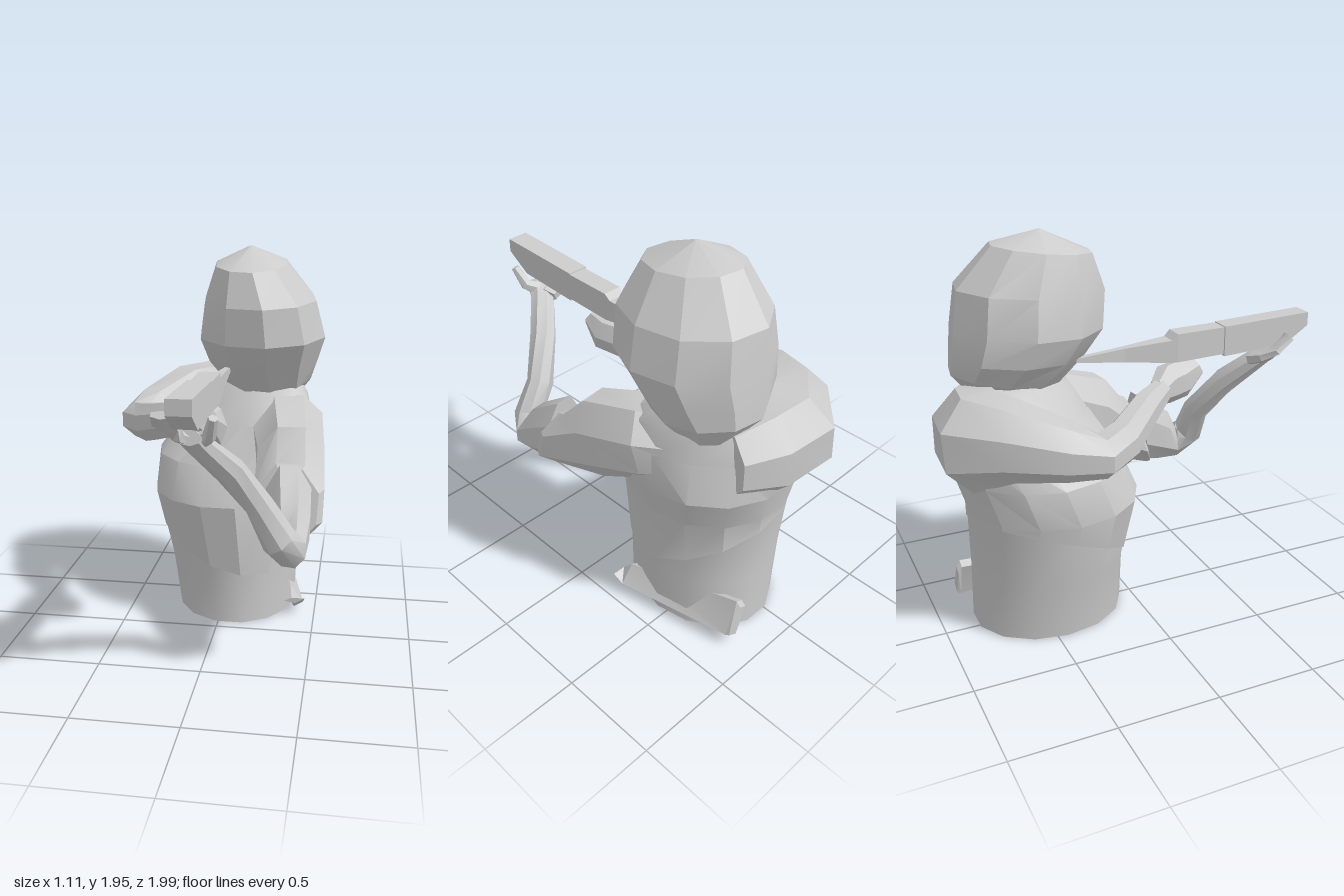
import * as THREE from 'three';
import { toCreasedNormals } from 'three/addons/utils/BufferGeometryUtils.js';

const V = (x, y, z) => new THREE.Vector3(x, y, z);
const material = new THREE.MeshStandardMaterial({ color: 0xcccccc, side: THREE.DoubleSide });

// Skin a list of closed rings; optional fan caps at both ends
function loft(name, rings, { capStart = true, capEnd = true, crease = 0.5 } = {}) {
  const pos = [], idx = [], n = rings[0].length;
  rings.forEach(r => r.forEach(p => pos.push(p.x, p.y, p.z)));
  for (let i = 0; i < rings.length - 1; i++) {
    for (let j = 0; j < n; j++) {
      const a = i * n + j, b = i * n + (j + 1) % n;
      idx.push(a, a + n, b, b, a + n, b + n);
    }
  }
  const cap = (row, flip) => {
    const c = rings[row].reduce((s, p) => s.add(p), V(0, 0, 0)).divideScalar(n);
    const k = pos.length / 3;
    pos.push(c.x, c.y, c.z);
    for (let j = 0; j < n; j++) {
      const a = row * n + j, b = row * n + (j + 1) % n;
      idx.push(k, flip ? b : a, flip ? a : b);
    }
  };
  if (capStart) cap(0, false);
  if (capEnd) cap(rings.length - 1, true);
  const g = new THREE.BufferGeometry();
  g.setAttribute('position', new THREE.Float32BufferAttribute(pos, 3));
  g.setIndex(idx);
  const mesh = new THREE.Mesh(toCreasedNormals(g, crease), material);
  mesh.name = name;
  return mesh;
}

// Point on an ellipse section [y, cx, cz, a, b, rotation, tilt towards +z]
function ellipsePoint([y, cx, cz, a, b, rot = 0, tilt = 0], t, grow = 1) {
  const u = a * grow * Math.cos(t), v = b * grow * Math.sin(t);
  const dz = u * Math.sin(rot) + v * Math.cos(rot);
  return V(cx + u * Math.cos(rot) - v * Math.sin(rot), y + tilt * dz, cz + dz);
}
const angles = (n, offset = 0) => Array.from({ length: n }, (_, j) => offset + j / n * Math.PI * 2);

// Limb through points [x, y, z, side radius, upright radius, upward lean of the section]
function limb(name, pts, sides = 8) {
  const c = pts.map(p => V(p[0], p[1], p[2]));
  const rings = c.map((p, i) => {
    const a = c[Math.max(i - 1, 0)], b = c[Math.min(i + 1, c.length - 1)];
    const T = p.clone().sub(a).normalize().add(b.clone().sub(p).normalize()).normalize();
    T.y += pts[i][5] ?? 0;
    T.normalize();
    const S = T.clone().cross(V(0, 1, 0)).normalize(), U = S.clone().cross(T);
    return angles(sides, Math.PI / sides).map(t => p.clone()
      .addScaledVector(S, 1.06 * pts[i][3] * Math.cos(t))
      .addScaledVector(U, 1.06 * pts[i][4] * Math.sin(t)));
  });
  return loft(name, rings);
}

// Rectangular bar along z, sections [z, bottom, top, left x, right x], front to back
function bar(name, sections) {
  return loft(name, sections.map(([z, y0, y1, x0, x1]) =>
    [V(x1, y0, z), V(x1, y1, z), V(x0, y1, z), V(x0, y0, z)]), { crease: 0.1 });
}

const torsoSections = [
  [0, 0.055, -0.445, 0.32, 0.39, 0],
  [0.3, 0.04, -0.44, 0.35, 0.39, 0],
  [0.66, 0.005, -0.415, 0.395, 0.425, 0],
  [0.85, 0.04, -0.48, 0.42, 0.415, 0.45],
  [1.05, 0.1, -0.54, 0.44, 0.29, 0.87],
  [1.17, 0.13, -0.56, 0.37, 0.24, 0.87],
  [1.24, 0.17, -0.57, 0.25, 0.18, 0.87],
];

function torsoAt(y) {
  const i = Math.max(1, torsoSections.findIndex(s => s[0] >= y));
  const a = torsoSections[i - 1], b = torsoSections[i], f = (y - a[0]) / (b[0] - a[0]);
  return a.map((v, k) => v + (b[k] - v) * f);
}

export function createModel() {
  const model = new THREE.Group();
  model.name = 'riflemanBust';

  // Torso, open at the waist
  model.add(loft('torso', torsoSections.map(s => angles(14).map(t => ellipsePoint(s, t))),
    { capStart: false, crease: 0.6 }));

  // Jacket layer with a slanting hem, following the torso sections
  const hem = t => 0.45 - 0.1 * Math.cos(t) - 0.16 * Math.sin(t);
  const rows = [0, 0.66, 0.85, 1.05].map(y => angles(14).map(t =>
    ellipsePoint(torsoAt(Math.max(y, hem(t))), t, 1.015)));
  model.add(loft('jacket', rows, { capStart: false, capEnd: false, crease: 0.45 }));

  // Hooded head with a raised back
  const headSections = [
    [1.14, 0.24, -0.6, 0.12, 0.13], [1.245, 0.2, -0.575, 0.235, 0.275, 0, -0.17],
    [1.36, 0.175, -0.515, 0.3, 0.335, 0, -0.05], [1.49, 0.175, -0.46, 0.34, 0.375, 0, -0.06],
    [1.68, 0.165, -0.44, 0.3, 0.37, 0, -0.06], [1.865, 0.125, -0.39, 0.19, 0.25, 0, -0.13],
    [1.95, 0.12, -0.4, 0.01, 0.01],
  ];
  model.add(loft('head', headSections.map(s => angles(10, 0.15).map(t => ellipsePoint(s, t))),
    { crease: 0.3 }));

  // Left arm supporting the barrel
  model.add(limb('leftSleeve', [
    [0.17, 1.04, -0.55, 0.2, 0.13], [0.32, 1.01, -0.34, 0.2, 0.19],
    [0.37, 0.9, -0.06, 0.17, 0.21, 0.15], [0.38, 0.765, 0.19, 0.175, 0.195, 0.65],
    [0.375, 0.76, 0.22, 0.155, 0.185, 0.5],
  ]));
  model.add(limb('leftForearm', [
    [0.385, 0.775, 0.22, 0.11, 0.19, 0.5], [0.4, 0.7, 0.37, 0.1, 0.14, 0.3],
    [0.41, 0.64, 0.47, 0.08, 0.09], [0.37, 0.7, 0.53, 0.07, 0.08],
    [0.28, 0.86, 0.53, 0.065, 0.065], [0.16, 1.05, 0.635, 0.065, 0.065],
    [0.05, 1.19, 0.76, 0.06, 0.05], [0.01, 1.24, 0.82, 0.07, 0.035],
  ]));
  model.add(limb('leftFingers', [
    [0.04, 1.2, 0.74, 0.06, 0.04], [-0.05, 1.24, 0.77, 0.09, 0.03],
    [-0.085, 1.28, 0.8, 0.08, 0.025], [-0.095, 1.34, 0.86, 0.05, 0.02],
  ], 6));
  model.add(limb('leftThumb', [
    [0.03, 1.21, 0.78, 0.04, 0.04], [0.1, 1.25, 0.83, 0.03, 0.03],
    [0.125, 1.34, 0.88, 0.02, 0.02],
  ], 6));

  // Right arm drawn back to the trigger
  model.add(limb('rightSleeve', [
    [0.24, 1.04, -0.72, 0.15, 0.17], [0.06, 1.04, -0.77, 0.2, 0.22],
    [-0.12, 1.05, -0.78, 0.22, 0.23], [-0.27, 1.085, -0.66, 0.18, 0.175],
    [-0.41, 1.05, -0.45, 0.13, 0.125], [-0.45, 1.03, -0.33, 0.115, 0.095],
    [-0.38, 1.05, -0.2, 0.085, 0.1], [-0.2, 1.12, 0, 0.07, 0.085],
    [-0.07, 1.14, 0.14, 0.055, 0.06],
  ]));
  model.add(limb('rightHand', [
    [-0.08, 1.14, 0.12, 0.05, 0.06], [-0.01, 1.15, 0.2, 0.075, 0.1],
    [0.02, 1.16, 0.3, 0.075, 0.1], [0.02, 1.21, 0.39, 0.05, 0.05],
  ], 7));

  // Rifle: fore-end, receiver and tapering stock
  model.add(bar('rifleForeEnd', [
    [1, 1.37, 1.44, -0.05, 0.06], [0.87, 1.285, 1.435, -0.05, 0.06],
    [0.51, 1.265, 1.42, -0.05, 0.06],
  ]));
  model.add(bar('rifleStock', [
    [0.52, 1.275, 1.415, -0.04, 0.06], [0.25, 1.265, 1.41, -0.04, 0.06],
    [0.22, 1.265, 1.38, -0.035, 0.055], [-0.02, 1.29, 1.36, 0, 0.04],
    [-0.27, 1.32, 1.34, 0.005, 0.035],
  ]));

  // Scabbard at the left hip, following the body backwards and leaning out at the bottom
  const scabbard = [[-0.2, 0.07, 0.1], [-0.25, 0.03, 0.15], [-0.85, 0.04, 0.25], [-0.87, 0.05, 0.22]];
  model.add(loft('scabbard', scabbard.map(([z, y0, y1]) => {
    const x = 0.4 + 0.2 * (z + 0.2);
    return [V(x, y0, z), V(x + 0.05, y0 + 0.03, z), V(x - 0.02, y1, z), V(x - 0.06, y1 - 0.02, z)];
  }), { crease: 0.3 }));

  return model;
}
